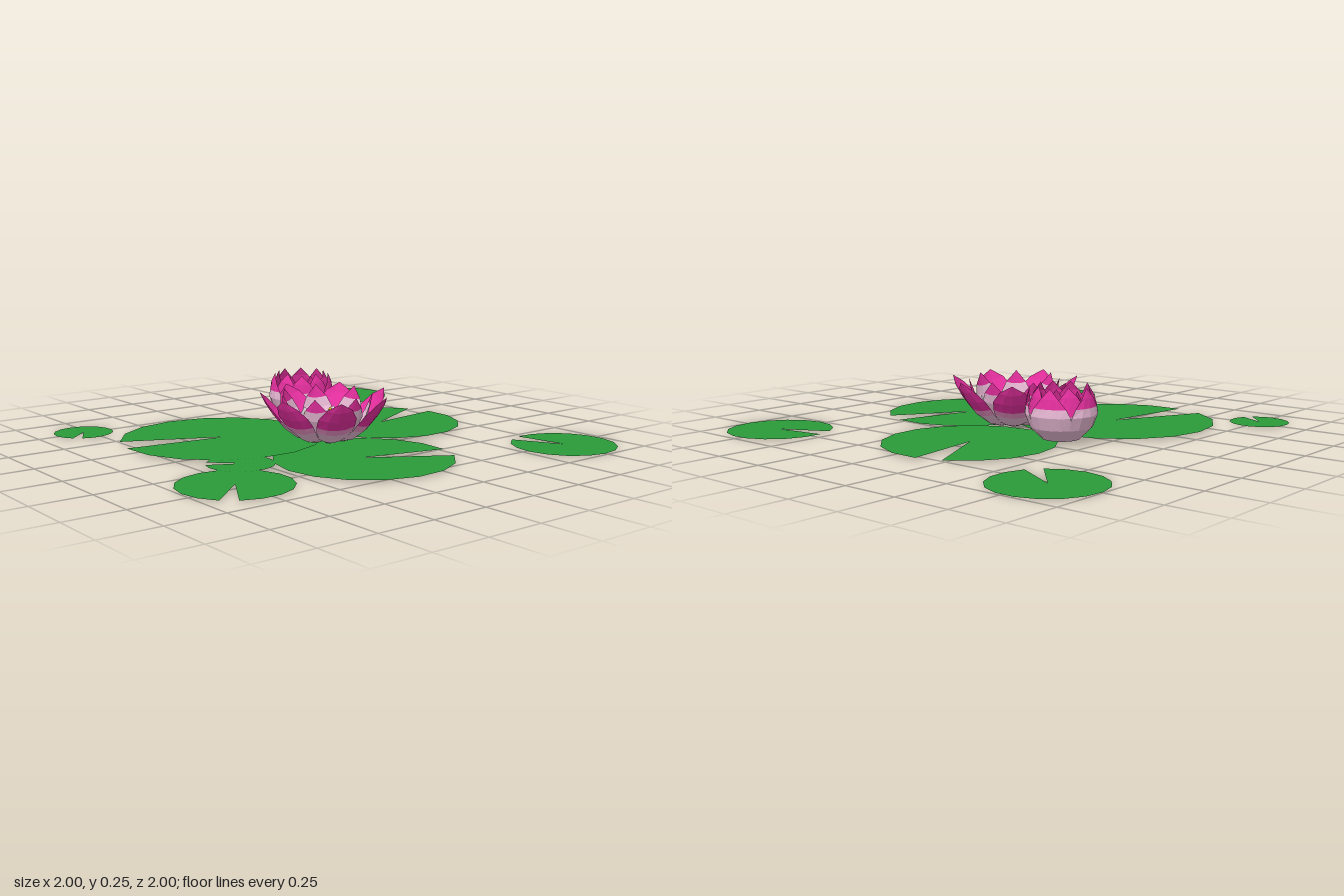
import * as THREE from 'three';

const mat = (name, color) => {
  const m = new THREE.MeshStandardMaterial({ color, side: THREE.DoubleSide });
  m.name = name;
  return m;
};

export function createModel() {
  const leaf = mat('leafGreen', 0x2a9a38);
  const magenta = mat('magenta', 0xe42f9e);
  const pink = mat('pink', 0xe58fc0);
  const pale = mat('palePink', 0xecbcd8);
  const white = mat('petalWhite', 0xf8eef4);
  const yellow = mat('stamenYellow', 0xecc814);
  const orange = mat('stamenOrange', 0xd88a14);
  const model = new THREE.Group();
  model.name = 'waterLilies';

  // Floating pads: x, z, radius, notch direction in degrees (from +x towards +z), height
  const pads = [
    [-0.36, -0.25, 0.447, 196.5, 0.01],
    [0.43, -0.078, 0.37, -17.5, 0.008],
    [-0.11, 0.43, 0.38, 23, 0.006],
    [-0.768, 0.458, 0.232, 129.5, 0.004],
    [-0.57, 0.205, 0.143, 216, 0.007],
    [-0.78, -0.754, 0.133, 128, 0.003],
    [0.77, -0.773, 0.23, 128, 0.003],
    [0.748, 0.765, 0.23, 251, 0.003],
  ];
  const gap = THREE.MathUtils.degToRad(9);
  for (const [x, z, r, notch, y] of pads) {
    const start = -THREE.MathUtils.degToRad(notch) + gap;
    const geo = new THREE.CircleGeometry(r, 16, start, Math.PI * 2 - 2 * gap);
    geo.rotateX(-Math.PI / 2);
    const pad = new THREE.Mesh(geo, leaf);
    pad.name = 'lilyPad';
    pad.position.set(x, y, z);
    model.add(pad);
  }

  // Petal skinned over stations [radius, height, half angle], one colour group per band
  function petalGeometry(stations, lift) {
    const cols = 4;
    const point = ([r, y, half], c) => {
      const u = (c / cols) * 2 - 1;
      const a = half * u;
      const edge = half > 0 ? lift * u * u : 0;
      return [r * Math.cos(a), y + edge, r * Math.sin(a)];
    };
    const pos = [];
    const geo = new THREE.BufferGeometry();
    for (let s = 0; s < stations.length - 1; s++) {
      const first = pos.length / 3;
      const lo = stations[s], hi = stations[s + 1];
      for (let c = 0; c < cols; c++) {
        const a = point(lo, c), b = point(lo, c + 1);
        const d = point(hi, c), e = point(hi, c + 1);
        pos.push(...a, ...d, ...b);
        if (hi[2] > 0) pos.push(...b, ...d, ...e);
      }
      geo.addGroup(first, pos.length / 3 - first, s);
    }
    geo.setAttribute('position', new THREE.Float32BufferAttribute(pos, 3));
    geo.computeVertexNormals();
    return geo;
  }

  // Ring of equal petals around the flower axis
  function petalRing(flower, name, count, offset, stations, bands, lift) {
    const geo = petalGeometry(stations, lift);
    for (let i = 0; i < count; i++) {
      const petal = new THREE.Mesh(geo, bands);
      petal.name = name;
      petal.rotation.y = Math.PI / 2 + ((i + offset) / count) * Math.PI * 2;
      flower.add(petal);
    }
  }

  // Ring of leaning filaments, each with a small anther at its end
  function stamens(flower, count, offset, spread, height, material) {
    const up = new THREE.Vector3(0, 1, 0);
    for (let i = 0; i < count; i++) {
      const a = Math.PI / 2 + ((i + offset) / count) * Math.PI * 2;
      const out = new THREE.Vector3(Math.cos(a), 0, -Math.sin(a));
      const base = out.clone().multiplyScalar(0.012).setY(0.03);
      const tip = out.clone().multiplyScalar(spread).setY(height);
      const dir = tip.clone().sub(base);
      const rod = new THREE.Mesh(new THREE.CylinderGeometry(0.008, 0.007, dir.length(), 4), material);
      rod.name = 'stamen';
      rod.position.copy(base).add(tip).multiplyScalar(0.5);
      rod.quaternion.setFromUnitVectors(up, dir.normalize());
      const anther = new THREE.Mesh(new THREE.OctahedronGeometry(0.012), material);
      anther.name = 'anther';
      anther.position.copy(tip);
      flower.add(rod, anther);
    }
  }

  // Open flower
  const bloom = new THREE.Group();
  bloom.name = 'openFlower';
  bloom.position.set(-0.015, 0, 0.06);
  petalRing(bloom, 'outerPetal', 7, 0, [
    [0.01, 0, 0.42], [0.08, 0.005, 0.44], [0.13, 0.018, 0.45], [0.185, 0.06, 0.44], [0.205, 0.085, 0.42],
    [0.237, 0.125, 0.36], [0.267, 0.17, 0.21], [0.29, 0.217, 0],
  ], [white, pale, pale, pink, magenta, magenta, magenta], 0.014);
  petalRing(bloom, 'middlePetal', 7, 0.5, [
    [0.02, 0.014, 0.42], [0.09, 0.026, 0.44], [0.15, 0.06, 0.42],
    [0.185, 0.12, 0.36], [0.195, 0.16, 0.24], [0.207, 0.22, 0],
  ], [pale, pale, pale, pale, magenta], 0.008);
  petalRing(bloom, 'innerPetal', 7, 0, [
    [0.02, 0.024, 0.42], [0.08, 0.036, 0.45], [0.12, 0.06, 0.42],
    [0.143, 0.09, 0.3], [0.156, 0.13, 0],
  ], [white, white, white, white], 0.006);
  stamens(bloom, 14, 0, 0.088, 0.125, yellow);
  stamens(bloom, 7, 0.25, 0.04, 0.115, orange);
  model.add(bloom);

  // Half-closed flower
  const bud = new THREE.Group();
  bud.name = 'closedFlower';
  bud.position.set(0.163, 0, -0.35);
  petalRing(bud, 'budOuterPetal', 5, 0, [
    [0.005, 0.007, 0.63], [0.08, 0.018, 0.64], [0.132, 0.07, 0.65], [0.153, 0.125, 0.62],
    [0.149, 0.16, 0.5], [0.142, 0.2, 0.28], [0.13, 0.242, 0],
  ], [pale, pale, pale, pale, magenta, magenta], 0);
  petalRing(bud, 'budMiddlePetal', 5, 0.5, [
    [0.01, 0.014, 0.63], [0.08, 0.03, 0.64], [0.125, 0.08, 0.65], [0.14, 0.13, 0.63],
    [0.134, 0.16, 0.54], [0.125, 0.205, 0.3], [0.11, 0.245, 0],
  ], [pale, pale, pale, magenta, magenta, magenta], 0);
  petalRing(bud, 'budInnerPetal', 5, 0, [
    [0.01, 0.02, 0.63], [0.06, 0.04, 0.64], [0.098, 0.09, 0.64],
    [0.1, 0.14, 0.56], [0.08, 0.21, 0],
  ], [pink, magenta, magenta, magenta], 0);
  stamens(bud, 7, 0, 0.06, 0.13, yellow);
  stamens(bud, 3, 0, 0.02, 0.13, orange);
  model.add(bud);

  return model;
}
